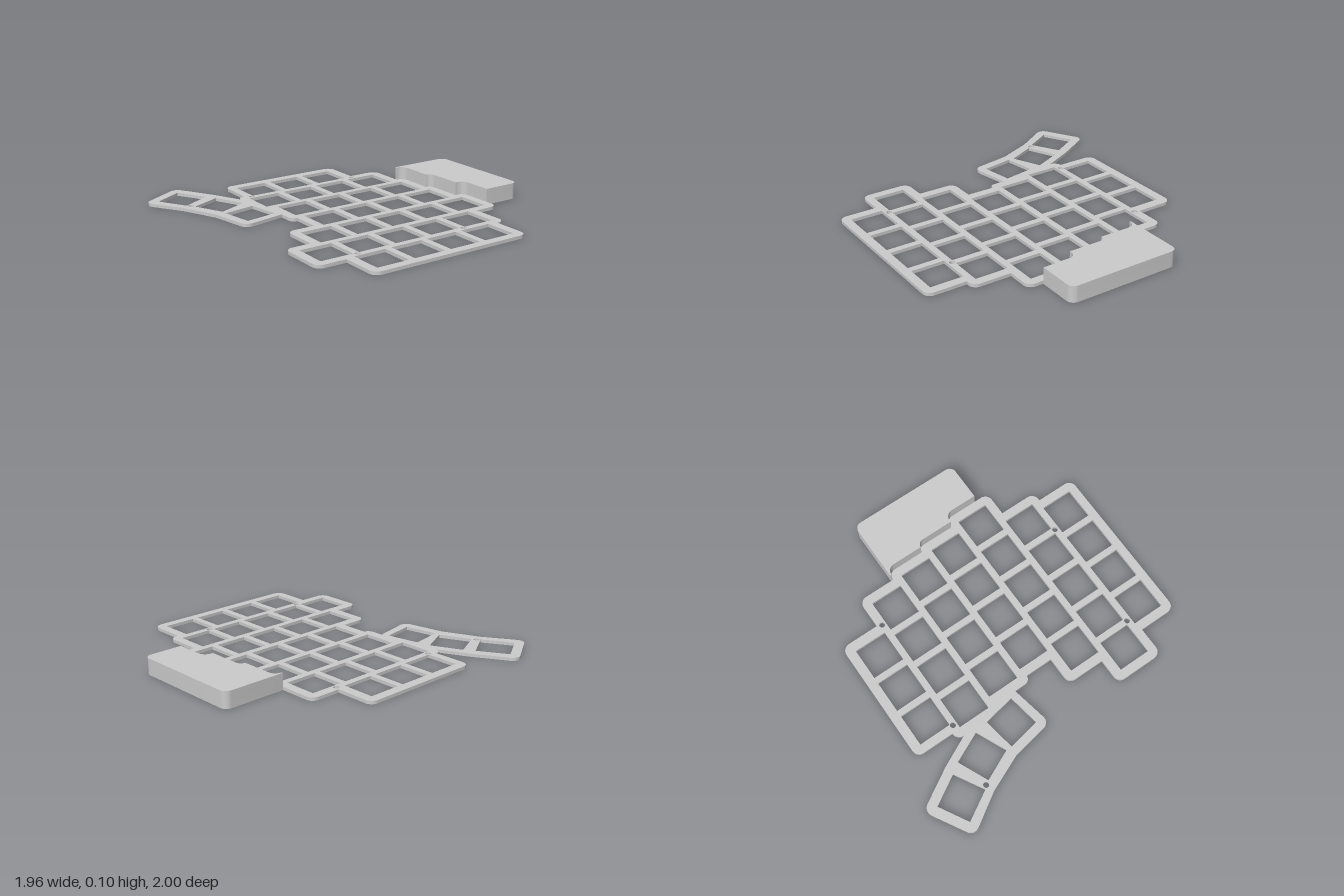
import * as THREE from 'three';
import { toCreasedNormals } from 'three/addons/utils/BufferGeometryUtils.js';

const PLATE = 0.02;   // plate thickness
const COVER = 0.104;  // cover height
const WALL = 0.02;    // cover wall thickness
const KEY = 0.252;    // key spacing
const CUT = 0.1055;   // half width of a key cutout

// Traces a closed loop of [x, z, cornerRadius] points, listed clockwise from
// above, as a counter-clockwise path so that extruded hole walls face inward
function trace(path, points) {
  const loop = [...points].reverse();
  const n = loop.length;
  const v = loop.map(([x, z]) => new THREE.Vector2(x, -z));
  loop.forEach(([, , r = 0], i) => {
    const p = v[i];
    const toPrev = v[(i + n - 1) % n].clone().sub(p);
    const toNext = v[(i + 1) % n].clone().sub(p);
    const radius = Math.min(r, toPrev.length(), toNext.length());
    const a = p.clone().add(toPrev.setLength(radius));
    const b = p.clone().add(toNext.setLength(radius));
    if (i === 0) path.moveTo(a.x, a.y);
    else path.lineTo(a.x, a.y);
    if (radius > 0) {
      const c1 = a.clone().lerp(p, 0.55), c2 = b.clone().lerp(p, 0.55);
      path.bezierCurveTo(c1.x, c1.y, c2.x, c2.y, b.x, b.y);
    }
  });
  path.closePath();
  return path;
}

// Square key cutout, turned by an angle in degrees
function keyHole(x, z, degrees = 0) {
  const t = THREE.MathUtils.degToRad(degrees), c = Math.cos(t), s = Math.sin(t);
  const corners = [[-1, -1], [1, -1], [1, 1], [-1, 1]].map(([a, b]) =>
    [x + CUT * (a * c + b * s), z + CUT * (b * c - a * s)]);
  return trace(new THREE.Path(), corners);
}

// Extrudes a plan shape upward from a given height
function slab(name, shape, bottom, height, material) {
  const geo = new THREE.ExtrudeGeometry(shape, { depth: height, bevelEnabled: false, curveSegments: 8 });
  geo.rotateX(-Math.PI / 2);
  geo.translate(0, bottom, 0);
  const mesh = new THREE.Mesh(toCreasedNormals(geo, 0.6), material);
  mesh.name = name;
  return mesh;
}

export function createModel() {
  const model = new THREE.Group();
  model.name = 'splitKeyboardPlate';
  const grey = new THREE.MeshStandardMaterial({ color: 0xcccccc });
  grey.name = 'grey';
  const R = 0.05;

  // Switch plate: staggered columns plus the fanned thumb cluster
  const plate = trace(new THREE.Shape(), [
    [-0.856, -0.386, R], [-0.602, -0.386], [-0.602, -0.587, R], [-0.353, -0.587],
    [-0.353, -0.64, R], [-0.1, -0.64], [-0.1, -0.677, R], [0.152, -0.677],
    [0.152, -0.74, R], [0.478, -0.74, R], [0.478, -0.571], [0.728, -0.571, R],
    [0.728, -0.509], [0.981, -0.509, R], [0.981, 0.572, R], [0.728, 0.572],
    [0.728, 0.762, R], [0.403, 0.762, R], [0.403, 0.593], [0.153, 0.593, R],
    [0.153, 0.406], [-0.029, 0.406], [-0.029, 0.445, R], [-0.143, 0.445],
    [-0.087, 0.722, R], [-0.364, 0.771], [-0.597, 0.871], [-0.835, 1.02, R],
    [-1.002, 0.735, R], [-0.747, 0.588], [-0.552, 0.495], [-0.602, 0.493, R],
    [-0.602, 0.445], [-0.856, 0.445, R],
  ]);

  // Key cutouts: [first key z, key count] for each column
  const columns = [[-0.218, 3], [-0.423, 4], [-0.477, 4], [-0.513, 4], [-0.578, 5], [-0.409, 5], [-0.346, 4]];
  columns.forEach(([z, count], col) => {
    for (let row = 0; row < count; row++) {
      plate.holes.push(keyHole(-0.691 + col * KEY, z + row * KEY));
    }
  });
  for (const [x, z, angle] of [[-0.776, 0.795, 30], [-0.535, 0.66, 24.5], [-0.273, 0.59, 10]]) {
    plate.holes.push(keyHole(x, z, angle));
  }

  // Screw holes
  for (const [x, z] of [[-0.571, -0.374], [-0.571, 0.404], [0.688, -0.284], [0.688, 0.473], [-0.614, 0.814]]) {
    const hole = new THREE.Path();
    hole.absarc(x, -z, 0.018, 0, Math.PI * 2, true);
    plate.holes.push(hole);
  }
  model.add(slab('switchPlate', plate, 0, PLATE, grey));

  // Controller cover: hollow underneath, its front fitted to the plate edge
  const coverOutline = [
    [-0.363, -1, 0.045], [0.378, -1, 0.045], [0.378, -0.74], [0.152, -0.74, R],
    [0.152, -0.677], [-0.1, -0.677, R], [-0.1, -0.64], [-0.353, -0.64, R],
    [-0.353, -0.587], [-0.363, -0.587],
  ];
  const walls = trace(new THREE.Shape(), coverOutline);
  walls.holes.push(trace(new THREE.Path(), [
    [-0.363 + WALL, -1 + WALL, 0.025], [0.378 - WALL, -1 + WALL, 0.025],
    [0.378 - WALL, -0.74 - WALL], [0.152 - WALL, -0.74 - WALL, R],
    [0.152 - WALL, -0.677 - WALL], [-0.1 - WALL, -0.677 - WALL, R],
    [-0.1 - WALL, -0.64 - WALL], [-0.363 + WALL, -0.64 - WALL],
  ]));
  const cover = new THREE.Group();
  cover.name = 'controllerCover';
  cover.add(slab('coverWalls', walls, 0, COVER - WALL, grey));
  cover.add(slab('coverTop', trace(new THREE.Shape(), coverOutline), COVER - WALL, WALL, grey));
  model.add(cover);

  return model;
}
